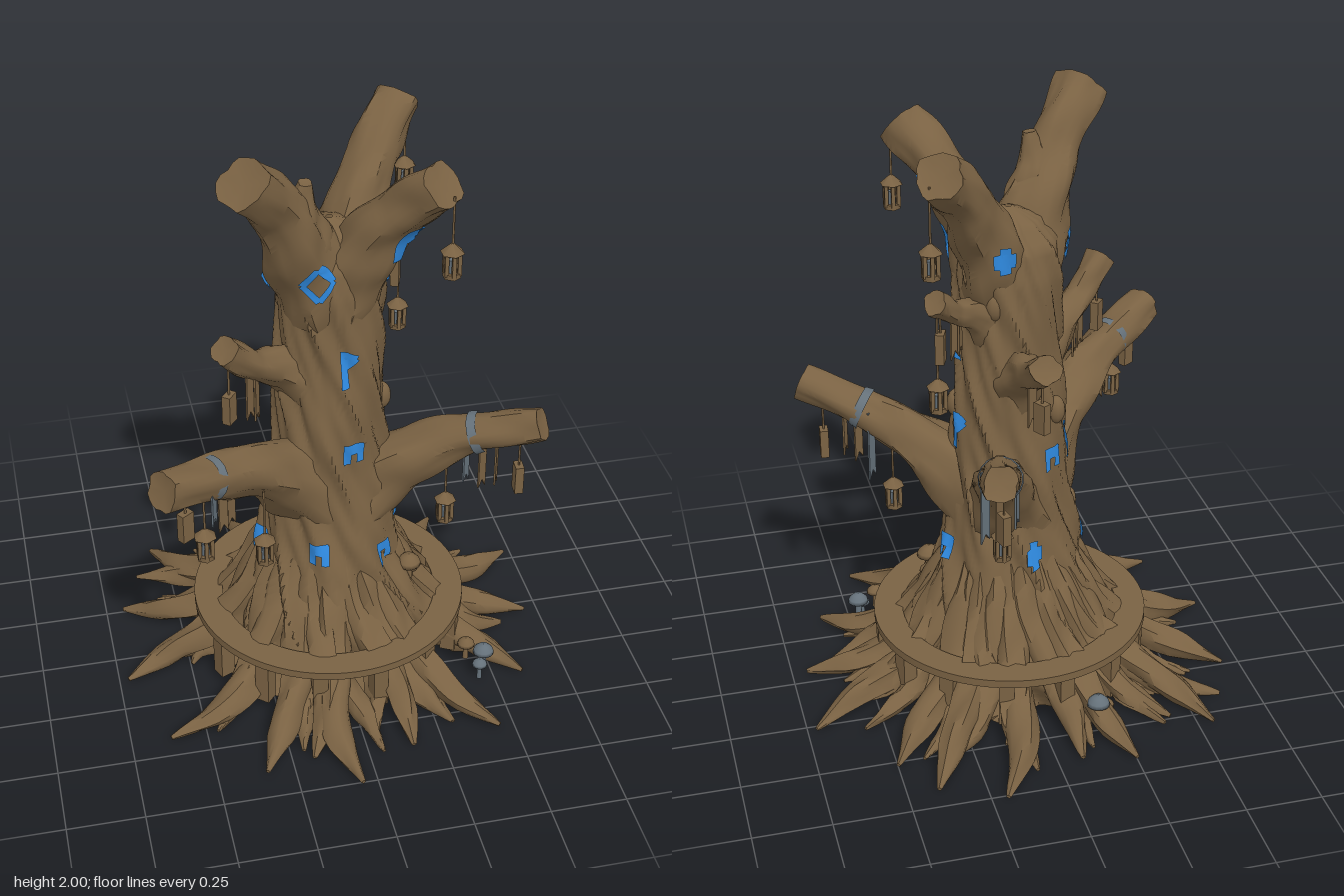
import * as THREE from 'three';
import { toCreasedNormals } from 'three/addons/utils/BufferGeometryUtils.js';

const wood = new THREE.MeshStandardMaterial({ color: 0x7a6243 });
const glow = new THREE.MeshStandardMaterial({ color: 0x2f8ae0, side: THREE.DoubleSide });
const cloth = new THREE.MeshStandardMaterial({ color: 0x65717a });
wood.name = 'bark brown'; glow.name = 'rune blue'; cloth.name = 'cloth grey';

const V = (x, y, z) => new THREE.Vector3(x, y, z);
const { sin, cos, PI, abs, max, min, atan2, floor } = Math;

// Linear lookup in a list of [key, value] pairs
function lookup(table, k) {
  for (let i = 1; i < table.length; i++) {
    const [a, b] = [table[i - 1], table[i]];
    if (k <= b[0]) return a[1] + (b[1] - a[1]) * (k - a[0]) / (b[0] - a[0]);
  }
  return table[table.length - 1][1];
}

function add(parent, name, geometry, material, x = 0, y = 0, z = 0) {
  const mesh = new THREE.Mesh(geometry, material);
  mesh.name = name;
  mesh.position.set(x, y, z);
  parent.add(mesh);
  return mesh;
}

// Twisted, ridged trunk surface
const trunkProfile = [[0, 0.36], [0.1, 0.345], [0.2, 0.315], [0.3, 0.272], [0.4, 0.24], [0.5, 0.22], [0.6, 0.205],
  [0.8, 0.185], [1, 0.177], [1.2, 0.166], [1.45, 0.165], [1.55, 0.15], [1.63, 0.09], [1.66, 0.01]];
function trunkPoint(a, y) {
  const t = a + 1.9 * y;
  const flare = max(0, 1 - y / 0.55);
  const ridge = (0.05 + 0.05 * flare) * (1 - 2 * abs(sin(4.5 * t + 0.5 * sin(5 * y))));
  const rough = 0.025 * sin(13 * t + 9 * y) + 0.025 * sin(3 * a - 11 * y) + 0.015 * sin(21 * a + 33 * y);
  const r = lookup(trunkProfile, y) * (1.02 + ridge + rough);
  return V(sin(a) * r, y, 0.015 * min(1, y) + cos(a) * r);
}

function trunkGeometry() {
  const g = new THREE.CylinderGeometry(1, 1, 1.66, 110, 90, true).translate(0, 0.83, 0);
  const p = g.attributes.position;
  for (let i = 0; i < p.count; i++) {
    const q = trunkPoint(atan2(p.getX(i), p.getZ(i)), max(0, p.getY(i)));
    p.setXYZ(i, q.x, q.y, q.z);
  }
  return toCreasedNormals(g, 0.9);
}

// Tapering, gnarled tube with a hollowed cut end
function limbGeometry(curve, radii, segs, sides, seed, rough = 1.2) {
  const g = new THREE.TubeGeometry(curve, segs, 1, sides);
  const p = g.attributes.position, v = V(), steps = radii.map((r, i) => [i / (radii.length - 1), r]);
  for (let i = 0; i < p.count; i++) {
    const t = floor(i / (sides + 1)) / segs, a = (i % (sides + 1)) / sides * 2 * PI;
    const c = curve.getPointAt(t);
    const bark = 1 + rough * (0.06 * sin(4 * a + 6 * t + seed) + 0.04 * sin(7 * a - 9 * t + seed * 2) + 0.05 * sin(2 * a + 17 * t + seed * 3));
    v.fromBufferAttribute(p, i).sub(c).multiplyScalar(lookup(steps, t) * bark).add(c);
    p.setXYZ(i, v.x, max(0.004, v.y), v.z);
  }
  const c = curve.getPointAt(1).addScaledVector(curve.getTangentAt(1), -0.2 * radii[radii.length - 1]);
  const out = new THREE.BufferGeometry();
  out.setAttribute('position', new THREE.Float32BufferAttribute([...p.array, c.x, max(0.004, c.y), c.z], 3));
  const index = [...g.index.array], row = segs * (sides + 1);
  for (let j = 0; j < sides; j++) index.push(p.count, row + j + 1, row + j);
  out.setIndex(index);
  return toCreasedNormals(out, 0.9);
}

// Branch paths (from inside the trunk to the cut end) and radii
const branches = {
  frontLeftCrown: [[-0.04, 1.4, 0.04, 0.13], [-0.12, 1.63, 0.11, 0.11], [-0.21, 1.82, 0.19, 0.08], [-0.31, 1.94, 0.28, 0.08]],
  frontRightCrown: [[0.03, 1.4, 0.04, 0.12], [0.1, 1.6, 0.11, 0.1], [0.19, 1.76, 0.19, 0.075], [0.28, 1.87, 0.28, 0.075]],
  backCrown: [[0.03, 1.4, -0.01, 0.12], [0.1, 1.6, -0.08, 0.1], [0.19, 1.78, -0.18, 0.075], [0.28, 1.89, -0.28, 0.075]],
  brokenSpike: [[-0.07, 1.5, 0.09, 0.09], [-0.09, 1.65, 0.11, 0.075], [-0.11, 1.76, 0.13, 0.055], [-0.1, 1.85, 0.14, 0.022]],
  lowLeft: [[-0.05, 0.66, 0.03, 0.16], [-0.24, 0.87, 0.19, 0.1], [-0.42, 0.98, 0.34, 0.07], [-0.61, 1.05, 0.48, 0.06]],
  lowRight: [[0.04, 0.6, 0.01, 0.16], [0.23, 0.78, 0.1, 0.1], [0.41, 0.9, 0.18, 0.065], [0.63, 0.99, 0.3, 0.055]],
  lowBack: [[0.01, 0.6, -0.03, 0.16], [0.07, 0.78, -0.2, 0.1], [0.12, 0.91, -0.36, 0.065], [0.17, 1.01, -0.56, 0.055]],
  midLeft: [[-0.05, 1.08, 0.02, 0.12], [-0.19, 1.2, 0.1, 0.07], [-0.28, 1.26, 0.17, 0.045], [-0.37, 1.36, 0.23, 0.047]],
  midBack: [[0, 1.05, -0.03, 0.12], [0, 1.18, -0.19, 0.07], [0, 1.23, -0.3, 0.045], [0, 1.31, -0.44, 0.047]],
  midRight: [[0.04, 1.26, -0.02, 0.1], [0.15, 1.36, -0.1, 0.055], [0.22, 1.4, -0.16, 0.036], [0.29, 1.47, -0.23, 0.038]],
};
const wrapAt = { lowLeft: 0.76, lowRight: 0.72, lowBack: 0.69 };

// Root tips as [x, z]
const rootTips = [[-0.25, -0.68], [-0.08, -0.64], [0.08, -0.63], [0.2, -0.77], [0.4, -0.68], [0.5, -0.53], [0.34, -0.55],
  [0.72, -0.28], [0.6, -0.17], [0.7, 0.05], [0.6, 0.1], [0.6, 0.36], [0.45, 0.6], [0.3, 0.55], [0.15, 0.63], [-0.05, 0.76], [-0.18, 0.62],
  [-0.34, 0.65], [-0.45, 0.42], [-0.62, 0.43], [-0.72, 0.12], [-0.6, 0.02], [-0.69, -0.25], [-0.62, -0.42], [-0.55, -0.56], [-0.42, -0.5]];

// Strip of glowing rune laid on the bark by casting rays towards the trunk axis
const caster = new THREE.Raycaster();
function runeStroke(group, bark, a, y, [u1, v1, u2, v2, width = 0.024]) {
  const g = new THREE.PlaneGeometry(1, width, 6, 2), p = g.attributes.position;
  const du = u2 - u1, dv = v2 - v1, len = Math.hypot(du, dv), r = lookup(trunkProfile, min(y, 1.45));
  for (let i = 0; i < p.count; i++) {
    const s = p.getX(i) + 0.5, w = p.getY(i);
    const angle = a + (u1 + du * s - dv / len * w) / r, h = y + v1 + dv * s + du / len * w;
    const out = V(sin(angle), 0, cos(angle));
    caster.set(V(0, h, 0.01).addScaledVector(out, 0.32), out.clone().negate());
    const hit = caster.intersectObjects(bark, false)[0];
    const q = (hit ? hit.point : trunkPoint(angle, h)).addScaledVector(out, 0.009);
    p.setXYZ(i, q.x, q.y, q.z);
  }
  g.computeVertexNormals();
  add(group, 'runeStroke', g, glow);
}
const glyphs = {
  diamond: [[-0.038, 0, 0, 0.062, 0.018], [0, 0.062, 0.038, 0, 0.018], [0.038, 0, 0, -0.062, 0.018], [0, -0.062, -0.038, 0, 0.018]],
  gate: [[-0.021, -0.04, -0.021, 0.04], [0.021, -0.035, 0.021, 0.035], [-0.03, 0.02, 0.03, 0.02, 0.04]],
  flag: [[-0.005, -0.065, -0.005, 0.06], [0, 0.045, 0.03, 0.03, 0.03], [0.028, 0.035, 0, 0]],
  block: [[-0.03, 0, 0.03, 0, 0.05], [0, -0.045, 0, 0.045, 0.03]],
};

function hangRope(group, x, z, from, to) {
  add(group, 'cord', new THREE.CylinderGeometry(0.004, 0.004, to - from, 5), wood, x, (from + to) / 2, z);
}

function lantern(parent, [x, y, z, top]) {
  const g = new THREE.Group();
  g.name = 'lantern';
  parent.add(g);
  hangRope(g, x, z, y + 0.05, top);
  add(g, 'lanternRoof', new THREE.ConeGeometry(0.038, 0.035, 6).toNonIndexed(), wood, x, y + 0.042, z);
  add(g, 'lanternBase', new THREE.CylinderGeometry(0.029, 0.029, 0.016, 6), wood, x, y - 0.05, z);
  add(g, 'lanternCore', new THREE.CylinderGeometry(0.012, 0.015, 0.045, 6), cloth, x, y - 0.022, z);
  for (let i = 0; i < 6; i++)
    add(g, 'lanternBar', new THREE.BoxGeometry(0.012, 0.075, 0.012), wood, x + 0.023 * sin(i * PI / 3), y - 0.012, z + 0.023 * cos(i * PI / 3));
}

export function createModel() {
  const model = new THREE.Group();
  model.name = 'lanternTree';

  const bark = [add(model, 'trunk', trunkGeometry(), wood)];
  add(model, 'underside', new THREE.CircleGeometry(0.36, 40).rotateX(PI / 2), wood, 0, 0.003, 0);

  Object.entries(branches).forEach(([name, pts], i) => {
    const curve = new THREE.CatmullRomCurve3(pts.map(q => V(q[0], q[1], q[2])));
    bark.push(add(model, name + 'Branch', limbGeometry(curve, pts.map(q => q[3]), 30, 20, i * 1.7), wood));
    // Cloth wraps on the low branches
    if (wrapAt[name]) {
      const wrap = add(model, 'clothWrap', new THREE.CylinderGeometry(0.067, 0.072, 0.03, 16, 1, true), cloth);
      wrap.position.copy(curve.getPointAt(wrapAt[name]));
      wrap.quaternion.setFromUnitVectors(V(0, 1, 0), curve.getTangentAt(wrapAt[name]));
    }
  });

  // Roots, alternately high and low, each with a small side spur
  rootTips.forEach(([x, z], i) => {
    const R = Math.hypot(x, z), a = atan2(x, z), high = i % 2 ? 0.12 : 0.15;
    const at = (r, y, turn = 0) => V(sin(a + turn) * r, y, cos(a + turn) * r);
    const sway = 0.09 * sin(i * 2.4);
    const curve = new THREE.CatmullRomCurve3([at(0.15, 0.46, -0.2), at(0.25, 0.28, -0.1), at(0.37, high, sway), at(0.76 * R, high * 0.4, sway), at(R, 0.012)]);
    add(model, 'root', limbGeometry(curve, [0.06, 0.065, 0.058, 0.052, 0.042, 0.007], 22, 12, i, 1.9), wood);
    const side = i % 2 ? 0.14 : -0.14;
    const spur = new THREE.CatmullRomCurve3([at(0.33, 0.09, sway), at(0.47, 0.035, side * 0.7), at(R * 0.84, 0.012, side)]);
    add(model, 'rootSpur', limbGeometry(spur, [0.045, 0.036, 0.006], 10, 10, i + 5, 1.9), wood);
  });

  // Ring walkway on posts
  const rim = [[0.365, 0.183], [0.462, 0.183], [0.462, 0.21], [0.365, 0.21], [0.365, 0.183]].map(q => new THREE.Vector2(...q));
  add(model, 'ringWalkway', toCreasedNormals(new THREE.LatheGeometry(rim, 64), 0.6), wood);
  for (let i = 0; i < 14; i++) {
    const a = (i + 0.4) * PI / 7;
    add(model, 'walkwayPost', new THREE.BoxGeometry(0.05, 0.15, 0.05), wood, sin(a) * 0.432, 0.11, cos(a) * 0.432).rotation.y = a;
  }

  // Knots on the bark
  [[1.5, 0.99], [1.3, 0.66], [-1.7, 0.6], [-2.4, 1.0], [2.6, 1.38]].forEach(([a, y]) => {
    const q = trunkPoint(a, y);
    add(model, 'knot', new THREE.SphereGeometry(0.03, 12, 8).scale(1, 1.6, 1), wood, q.x * 0.96, q.y, q.z * 0.96);
  });

  // Glowing runes: angle, height, glyph
  [[-0.36, 1.53, 'diamond'], [0.75, 1.65, 'flag'], [1.15, 1.52, 'flag'], [0.1, 1.21, 'flag'], [0.22, 0.89, 'gate'], [-0.36, 0.52, 'gate'],
    [0.72, 0.47, 'gate'], [1.6, 1.2, 'block'], [1.87, 0.93, 'flag'], [1.8, 0.5, 'gate'], [-1.5, 0.47, 'gate'],
    [2.85, 1.55, 'block'], [-1.4, 1.5, 'block'], [-2.55, 0.84, 'gate'], [-2.05, 0.87, 'flag'], [-3.0, 0.52, 'block']].forEach(([a, y, kind]) => {
    const rune = new THREE.Group();
    rune.name = 'rune';
    glyphs[kind].forEach(s => runeStroke(rune, bark, a, y, s));
    model.add(rune);
  });

  // Lanterns: x, y, z, cord top
  [[0.31, 1.63, 0.3, 1.84], [0.31, 1.63, -0.28, 1.86], [0.28, 1.15, -0.21, 1.44], [-0.27, 0.64, 0.29, 0.86], [-0.48, 0.8, 0.43, 1.0],
    [0.36, 0.61, 0.16, 0.85], [0.1, 0.64, -0.3, 0.85]].forEach(q => lantern(model, q));

  // Wooden tags on cords
  [[-0.54, 0.89, 0.45, 1.02], [-0.36, 1.15, 0.23, 1.33], [0.27, 1.31, -0.21, 1.45], [0.57, 0.77, 0.27, 0.96], [0.15, 0.83, -0.52, 0.98], [0, 1.13, -0.4, 1.27]]
    .forEach(([x, y, z, top], i) => {
      hangRope(model, x, z, y + 0.04, top);
      add(model, 'woodenTag', new THREE.BoxGeometry(0.045, 0.1, 0.028), wood, x, y, z).rotation.y = 0.6 + i * 0.3;
    });

  // Notched cloth streamers: x, top, z, length, material
  [[-0.29, 1.26, 0.18, 0.19, wood], [-0.265, 1.25, 0.16, 0.2, wood], [-0.41, 0.98, 0.34, 0.21, wood], [-0.38, 0.97, 0.31, 0.2, wood],
    [0.19, 1.4, -0.14, 0.15, wood], [0.21, 1.4, -0.15, 0.16, wood], [0.46, 0.93, 0.22, 0.21, wood], [0.5, 0.94, 0.24, 0.2, wood],
    [0.14, 0.94, -0.43, 0.2, wood], [0.01, 1.24, -0.33, 0.17, wood], [-0.45, 1.0, 0.42, 0.14, cloth], [0.43, 0.93, 0.14, 0.24, cloth],
    [0.17, 0.95, -0.37, 0.25, cloth], [0.07, 0.95, -0.38, 0.2, cloth]].forEach(([x, top, z, len, mat], i) => {
    const s = new THREE.Shape([[-0.018, 0], [-0.018, -len], [0, -len + 0.025], [0.018, -len * 1.03], [0.018, 0]].map(q => new THREE.Vector2(...q)));
    add(model, 'streamer', new THREE.ExtrudeGeometry(s, { depth: 0.006, bevelEnabled: false }), mat, x, top, z).rotation.y = 0.8 + 0.3 * sin(i * 2);
  });

  // Mushrooms: x, cap height, z, cap radius, material
  [[0.47, 0.09, 0.32, 0.036, cloth], [0.41, 0.125, 0.31, 0.03, wood], [0.45, 0.06, 0.35, 0.026, cloth], [-0.17, 0.11, -0.5, 0.038, cloth],
    [-0.21, 0.07, -0.46, 0.026, wood], [0.25, 0.365, 0.13, 0.042, wood], [0.26, 0.32, 0.1, 0.03, wood]].forEach(([x, y, z, r, mat]) => {
    const cap = [[0, -0.1], [1, -0.1], [0.9, 0.25], [0.5, 0.65], [0, 0.8]].map(q => new THREE.Vector2(q[0] * r, q[1] * r));
    add(model, 'mushroomCap', new THREE.LatheGeometry(cap, 14), mat, x, y, z);
    add(model, 'mushroomStem', new THREE.CylinderGeometry(r * 0.25, r * 0.35, 0.06, 8), mat, x, y - 0.03, z);
  });

  return model;
}
